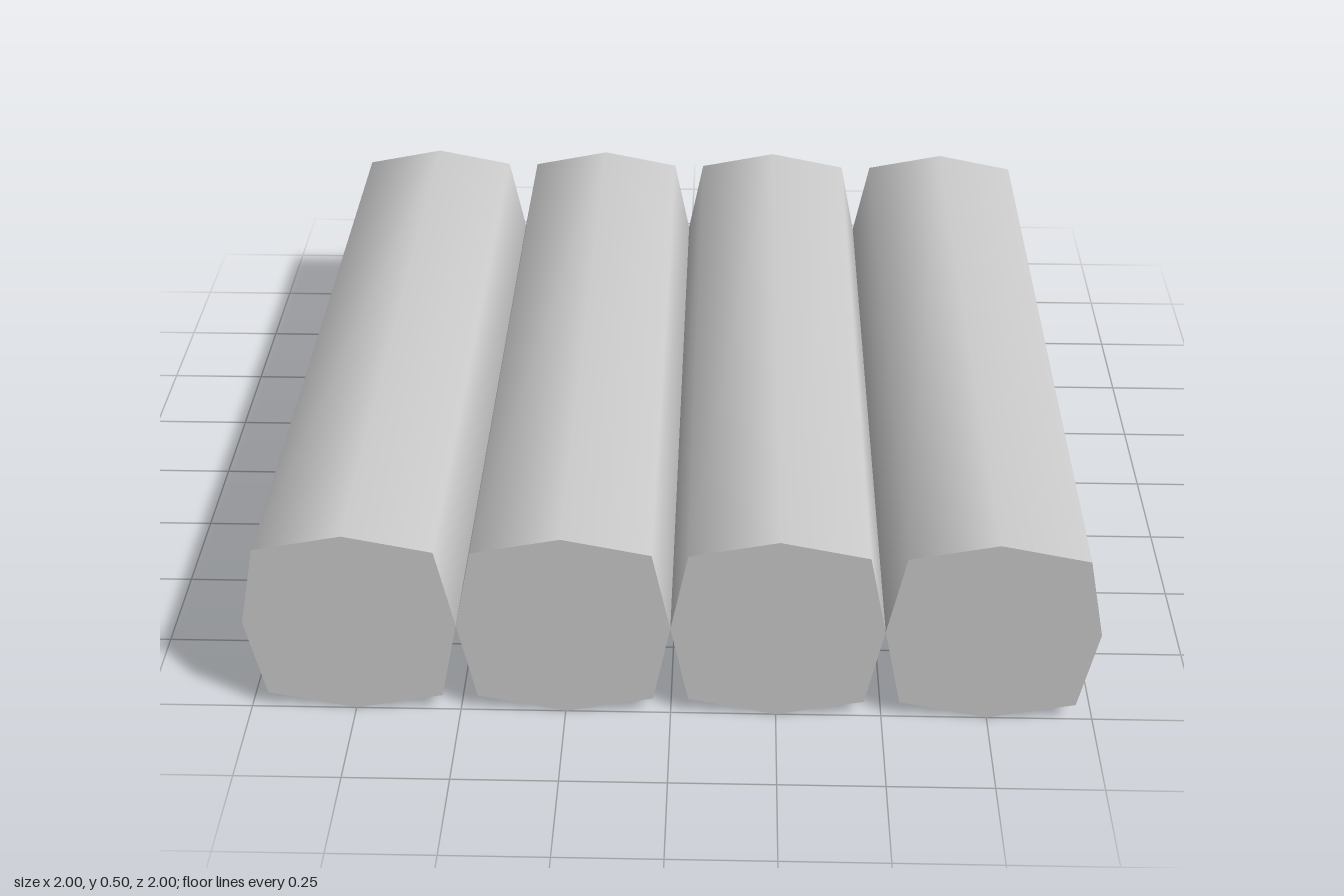
import * as THREE from 'three';

const RADIUS = 0.25;
const CORNER = 0.208; // diagonal corners pushed out towards a square
const LENGTH = 2;
const COUNT = 4;

// Eight-sided log along z with smooth sides and flat ends
function logGeometry() {
  const geometry = new THREE.CylinderGeometry(RADIUS, RADIUS, LENGTH, 8);
  geometry.rotateX(Math.PI / 2);
  const p = geometry.attributes.position;
  for (let i = 0; i < p.count; i++) {
    const x = p.getX(i), y = p.getY(i);
    if (Math.abs(x) > 0.1 && Math.abs(y) > 0.1) {
      p.setXY(i, Math.sign(x) * CORNER, Math.sign(y) * CORNER);
    }
  }
  return geometry;
}

export function createModel() {
  const model = new THREE.Group();
  model.name = 'logRow';
  const material = new THREE.MeshStandardMaterial({ color: 0xcccccc });
  const geometry = logGeometry();

  // Logs lying side by side, touching at their widest points
  for (let i = 0; i < COUNT; i++) {
    const log = new THREE.Mesh(geometry, material);
    log.name = `log${i + 1}`;
    log.position.set((i - (COUNT - 1) / 2) * RADIUS * 2, RADIUS, 0);
    model.add(log);
  }
  return model;
}
